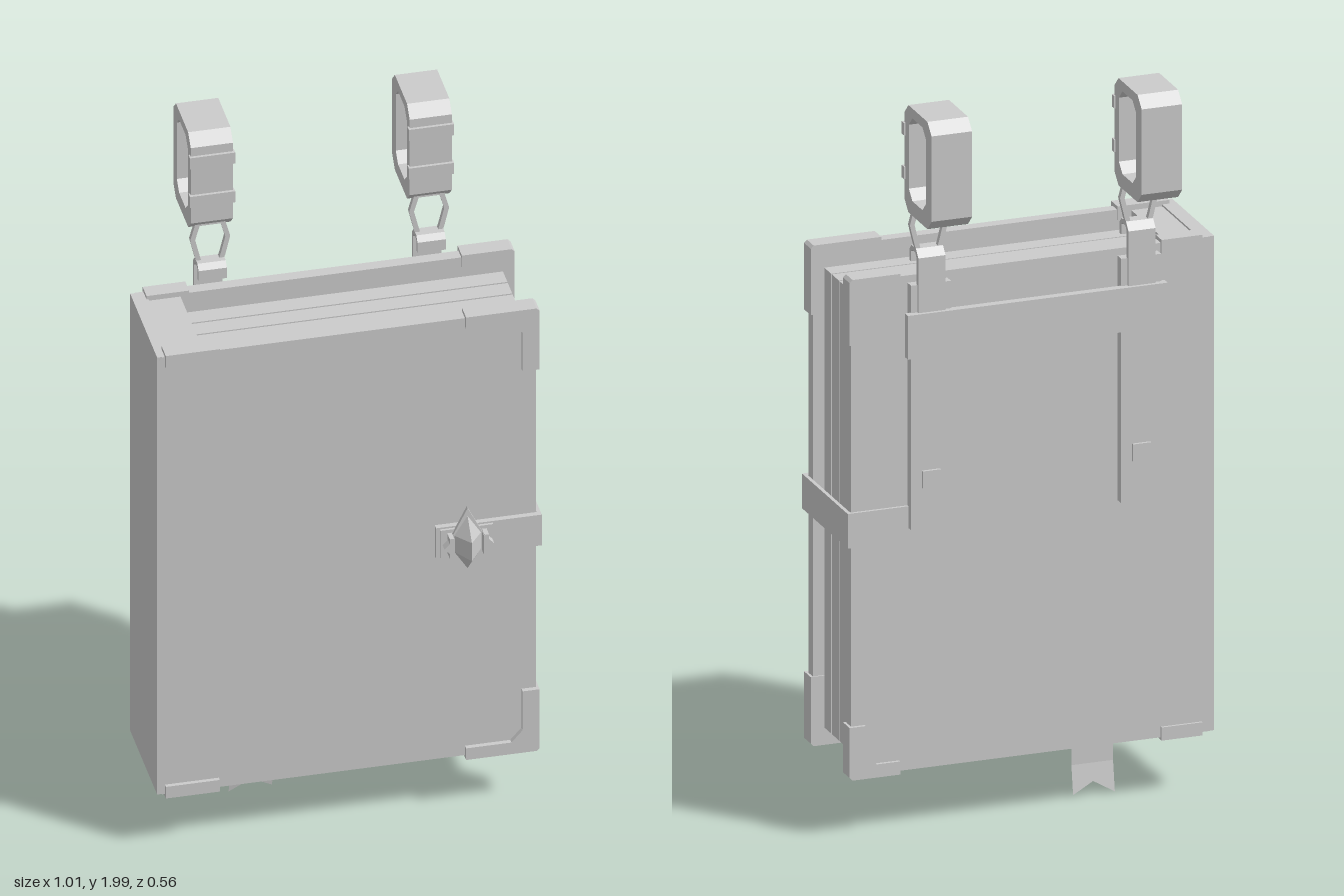
import * as THREE from 'three';

const grey = new THREE.MeshStandardMaterial({ color: 0xcccccc, flatShading: true });
const thin = new THREE.MeshStandardMaterial({ color: 0xcccccc, flatShading: true, side: THREE.DoubleSide });

export function createModel() {
  const model = new THREE.Group();

  const add = (name, geometry, material = grey) => {
    const mesh = new THREE.Mesh(geometry, material);
    mesh.name = name;
    model.add(mesh);
    return mesh;
  };
  // Box given by its minimum and maximum on each axis
  const box = (name, x0, x1, y0, y1, z0, z1) => {
    const mesh = add(name, new THREE.BoxGeometry(x1 - x0, y1 - y0, z1 - z0));
    mesh.position.set((x0 + x1) / 2, (y0 + y1) / 2, (z0 + z1) / 2);
    return mesh;
  };
  const outline = (pts) => new THREE.Shape(pts.map(([x, y]) => new THREE.Vector2(x, y)));
  const extrude = (shape, depth, z = 0) =>
    new THREE.ExtrudeGeometry(shape, { depth, bevelEnabled: false }).translate(0, 0, z);
  // Profile drawn in (-z, y), extruded along x around a centre
  const sideExtrude = (shape, width, x) =>
    extrude(shape, width, -width / 2).rotateY(Math.PI / 2).translate(x, 0, 0);
  // Rectangle with cut corners
  const octagon = (x0, x1, y0, y1, c) => [
    [x0 + c, y0], [x1 - c, y0], [x1, y0 + c], [x1, y1 - c],
    [x1 - c, y1], [x0 + c, y1], [x0, y1 - c], [x0, y0 + c],
  ];

  // Covers with slightly cut corners
  const coverShape = outline(octagon(-0.505, 0.493, 0.175, 1.53, 0.008));
  add('frontCover', extrude(coverShape, 0.032, 0.17));
  add('backCover', extrude(coverShape, 0.032, -0.107));

  // Spine wall and the filled block behind the pages
  box('spine', -0.51, -0.47, 0.175, 1.53, -0.105, 0.2);
  box('spineBlock', -0.472, -0.385, 0.22, 1.525, -0.076, 0.171);

  // Four page sections
  for (let i = 0; i < 4; i++) {
    const z = -0.06 + i * 0.055;
    box('pageSection', -0.386, 0.467, 0.22, 1.48, z, z + 0.05);
  }
  box('pageCore', -0.386, 0.455, 0.23, 1.472, -0.055, 0.15);

  // Corner guards: L-shaped at the free edge, plain clips at the spine
  const guard = (name, armX, armY, top, z0, z1) => {
    const y = (d) => (top ? 1.54 - d : 0.168 + d);
    const pts = [
      [0.492, y(0)], [0.5, y(0.008)], [0.5, y(armY)], [0.455, y(armY)],
      [0.455, y(0.07)], [0.425, y(0.036)], [0.5 - armX, y(0.036)], [0.5 - armX, y(0)],
    ];
    add(name, extrude(outline(pts), z1 - z0, z0));
  };
  for (const top of [true, false]) {
    guard('frontCornerGuard', 0.195, 0.19, top, 0.166, 0.215);
    guard('backCornerGuard', 0.14, top ? 0.18 : 0.145, top, -0.116, -0.068);
    const [y0, y1] = top ? [1.502, 1.54] : [0.168, 0.204];
    box('frontSpineClip', -0.49, -0.347, y0, y1, 0.166, 0.213);
    box('backSpineClip', -0.475, -0.362, y0, y1, -0.114, -0.07);
  }

  // Clasp strap wrapping round the open edge
  box('claspStrapFront', 0.225, 0.505, 0.805, 0.9, 0.2, 0.217);
  box('claspStrapSide', 0.495, 0.505, 0.805, 0.9, -0.115, 0.217);
  box('claspStrapBack', 0.31, 0.505, 0.805, 0.9, -0.115, -0.104);
  box('claspPlate', 0.235, 0.375, 0.81, 0.895, 0.21, 0.224);

  // Diamond clasp: flat plate, ridged stud and two side points
  const cx = 0.305, cy = 0.855;
  add('claspDiamond', extrude(outline([
    [cx - 0.052, cy], [cx, cy - 0.105], [cx + 0.052, cy], [cx, cy + 0.105],
  ]), 0.01, 0.222));
  const studBase = [[0, -0.082], [0.036, -0.025], [0.036, 0.025], [0, 0.082], [-0.036, 0.025], [-0.036, -0.025]];
  const studTop = [-0.028, -0.028, 0.028, 0.028, 0.028, -0.028];
  const studTris = [];
  studBase.forEach(([x, y], i) => {
    const j = (i + 1) % 6, [x2, y2] = studBase[j];
    const t = [0, studTop[i], 0.05], t2 = [0, studTop[j], 0.05];
    studTris.push(x, y, 0, x2, y2, 0, ...t2, x, y, 0, ...t2, ...t);
  });
  const stud = new THREE.BufferGeometry();
  stud.setAttribute('position', new THREE.Float32BufferAttribute(studTris, 3));
  stud.computeVertexNormals();
  add('claspStud', stud.translate(cx, cy, 0.231), thin);
  for (const s of [-1, 1]) {
    const pts = [[cx + s * 0.038, cy - 0.03], [cx + s * 0.066, cy], [cx + s * 0.038, cy + 0.03]];
    add('claspSidePoint', extrude(outline(pts), 0.022, 0.231));
    box('claspSideBar', cx + s * 0.046 - 0.006, cx + s * 0.046 + 0.006, cy - 0.03, cy + 0.03, 0.22, 0.253);
  }

  // Ribbon bookmark with a notched, slightly swept end
  const ribbon = new THREE.ShapeGeometry(outline([
    [-0.27, 0.3], [-0.27, 0.09], [-0.27, 0.008], [-0.212, 0.042],
    [-0.155, 0.012], [-0.155, 0.09], [-0.155, 0.3],
  ]));
  const rp = ribbon.attributes.position;
  for (let i = 0; i < rp.count; i++) rp.setZ(i, -0.003 - Math.max(0, 0.09 - rp.getY(i)) * 0.16);
  ribbon.computeVertexNormals();
  add('ribbon', ribbon, thin);

  // Cross strap on the back
  box('backCrossStrap', -0.365, 0.352, 1.315, 1.435, -0.15, -0.128);

  // Two hangers: strap, hook, link and belt loop
  for (const x of [-0.298, 0.282]) {
    box('hangerStrap', x - 0.055, x + 0.055, 0.84, 1.51, -0.133, -0.105);
    box('strapRivet', x - 0.025, x + 0.025, 0.953, 1.0, -0.141, -0.13);

    // Band rising over the cover and folding forward into a hook
    add('hangerHook', sideExtrude(outline([
      [0.127, 1.4], [0.14, 1.4], [0.14, 1.585], [0.122, 1.606], [0.09, 1.606], [0.076, 1.592],
      [0.076, 1.56], [0.088, 1.56], [0.088, 1.588], [0.094, 1.594], [0.118, 1.594], [0.127, 1.58],
    ]), 0.075, x));

    // Faceted link
    const link = outline([
      [-0.028, 1.578], [0.028, 1.578], [0.04, 1.615], [0.053, 1.67], [0.038, 1.725],
      [-0.038, 1.725], [-0.053, 1.67], [-0.04, 1.615],
    ]);
    link.holes.push(new THREE.Path([
      [-0.02, 1.592], [-0.028, 1.62], [-0.04, 1.67], [-0.028, 1.712],
      [0.028, 1.712], [0.04, 1.67], [0.028, 1.62], [0.02, 1.592],
    ].map(([a, b]) => new THREE.Vector2(a, b))));
    add('link', extrude(link, 0.014, -0.119).translate(x, 0, 0));

    // Octagonal belt loop with two bands on its front
    const loop = outline(octagon(0.086, 0.284, 1.706, 2.0, 0.03));
    loop.holes.push(new THREE.Path(octagon(0.119, 0.244, 1.746, 1.973, 0.026)
      .map(([a, b]) => new THREE.Vector2(a, b)).reverse()));
    add('beltLoop', sideExtrude(loop, 0.112, x));
    for (const y of [1.79, 1.91]) box('loopBand', x - 0.06, x + 0.06, y, y + 0.034, -0.095, -0.078);
  }

  return model;
}
